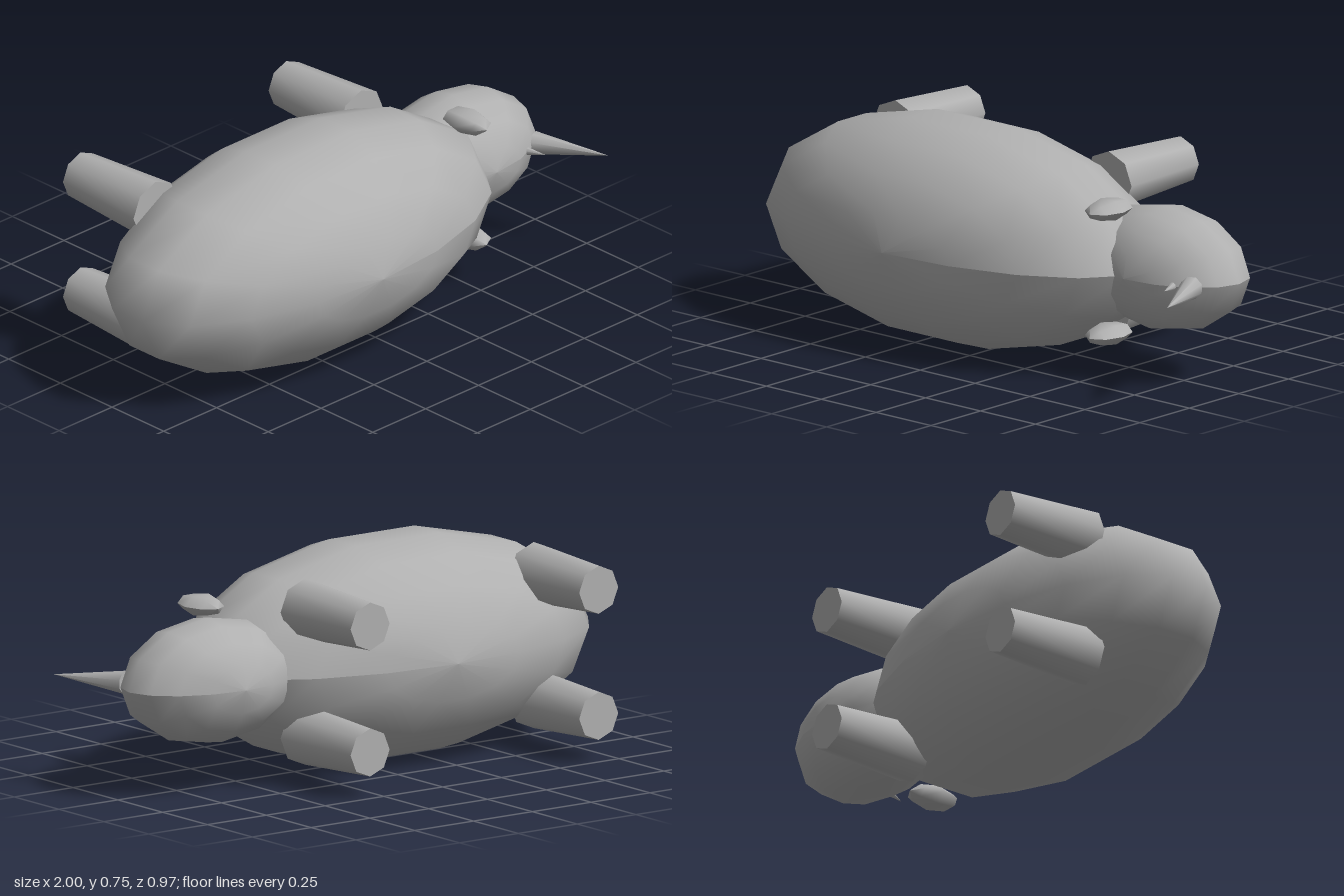
import * as THREE from 'three';

const MID = 0.373; // height of the animal's plane of symmetry

export function createModel() {
  const model = new THREE.Group();
  model.name = 'rhinoceros';
  const hide = new THREE.MeshStandardMaterial({ color: 0xb0b0b0 });
  hide.name = 'grey hide';

  const add = (name, geometry) => {
    const mesh = new THREE.Mesh(geometry, hide);
    mesh.name = name;
    model.add(mesh);
  };

  // Low-poly ellipsoid with its poles along z and its seam towards +x
  const ellipsoid = (name, [x, y, z], [rx, ry, rz], around, rings) => {
    const g = new THREE.SphereGeometry(1, around, rings);
    g.rotateY(Math.PI).rotateX(Math.PI / 2);
    g.scale(rx, ry, rz).translate(x, y, z);
    g.computeVertexNormals();
    add(name, g);
  };

  // Cone whose axis runs from a base point to a tip
  const horn = (name, base, tip, radius) => {
    const a = new THREE.Vector3(...base);
    const axis = new THREE.Vector3(...tip).sub(a);
    const length = axis.length();
    const g = new THREE.ConeGeometry(radius, length, 8).translate(0, length / 2, 0);
    g.applyQuaternion(new THREE.Quaternion().setFromUnitVectors(
      new THREE.Vector3(0, 1, 0), axis.normalize()));
    g.translate(a.x, a.y, a.z);
    add(name, g);
  };

  ellipsoid('body', [-0.19, MID, 0.073], [0.8225, 0.3885, 0.412], 14, 9);
  ellipsoid('head', [0.64, MID, -0.03], [0.335, 0.216, 0.215], 12, 8);

  // The animal lies on its side: legs point to -z, pairs mirror in y
  for (const side of [-1, 1]) {
    const label = side > 0 ? 'upper' : 'lower';
    ellipsoid(label + 'Ear', [0.537, MID + side * 0.218, 0.144], [0.068, 0.038, 0.096], 6, 4);
    for (const [name, x] of [['FrontLeg', 0.297], ['HindLeg', -0.675]]) {
      const leg = new THREE.CylinderGeometry(0.104, 0.083, 0.363, 8);
      leg.rotateX(Math.PI / 2).translate(x, MID + side * 0.218, -0.3035);
      add(label + name, leg);
    }
  }

  // Nose horns
  horn('frontHorn', [0.885, MID, 0.112], [0.998, MID, 0.36], 0.04);
  horn('rearHorn', [0.818, MID, 0.12], [0.848, MID, 0.208], 0.018);

  return model;
}
